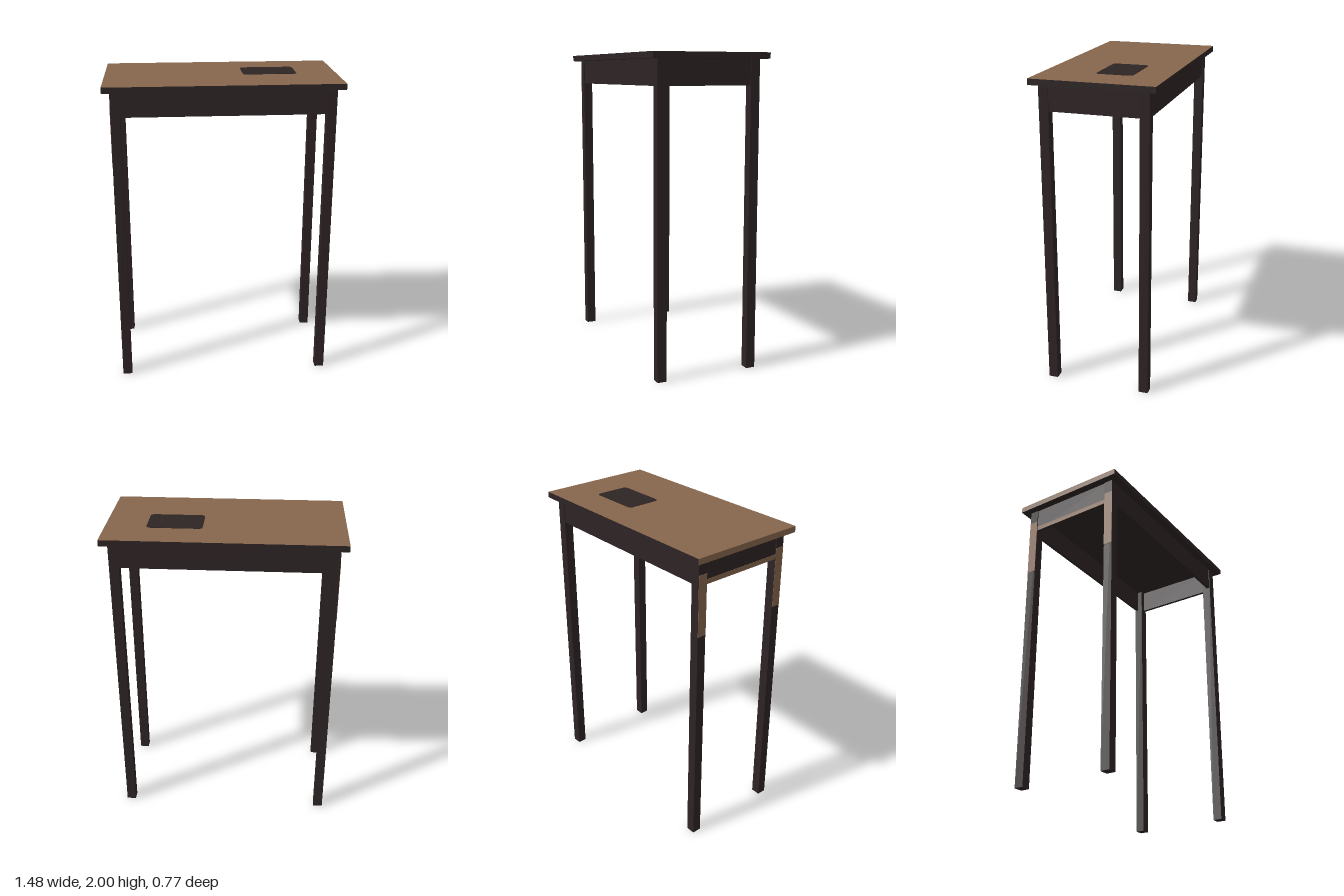
import * as THREE from 'three';

export function createModel() {
  const model = new THREE.Group();
  model.name = 'table';

  const dark = new THREE.MeshStandardMaterial({ color: 0x2e2424 });
  dark.name = 'dark wood';
  const brown = new THREE.MeshStandardMaterial({ color: 0x86664d });
  brown.name = 'brown wood';

  // Box given by its minimum and maximum corners
  function box(name, [x0, y0, z0], [x1, y1, z1], material, parent = model) {
    const mesh = new THREE.Mesh(new THREE.BoxGeometry(x1 - x0, y1 - y0, z1 - z0), material);
    mesh.position.set((x0 + x1) / 2, (y0 + y1) / 2, (z0 + z1) / 2);
    mesh.name = name;
    parent.add(mesh);
    return mesh;
  }

  // Tabletop: brown upper face and one brown end (face order +x -x +y -y +z -z)
  box('tabletop', [-0.74, 1.96, -0.387], [0.74, 1.998, 0.387],
    [dark, brown, brown, dark, dark, dark]);

  // Dark rounded panel set into the top
  const x0 = 0.14, x1 = 0.485, y0 = -0.06, y1 = 0.17, r = 0.025;
  const outline = new THREE.Shape();
  outline.absarc(x1 - r, y1 - r, r, 0, Math.PI / 2);
  outline.absarc(x0 + r, y1 - r, r, Math.PI / 2, Math.PI);
  outline.absarc(x0 + r, y0 + r, r, Math.PI, Math.PI * 1.5);
  outline.absarc(x1 - r, y0 + r, r, Math.PI * 1.5, Math.PI * 2);
  const panel = new THREE.Mesh(
    new THREE.ExtrudeGeometry(outline, { depth: 0.003, bevelEnabled: false, curveSegments: 5 }), dark);
  panel.rotation.x = -Math.PI / 2;
  panel.position.y = 1.997;
  panel.name = 'topPanel';
  model.add(panel);

  // Four square legs
  for (const sx of [-1, 1]) {
    for (const sz of [-1, 1]) {
      const leg = box('leg', [-0.03, 0, -0.03], [0.03, 1.96, 0.03], dark);
      leg.position.x = sx * 0.665;
      leg.position.z = sz * 0.31;
    }
  }

  // Aprons between the legs, slightly recessed
  for (const s of [-1, 1]) {
    const long = box('longApron', [-0.635, 1.8, -0.01], [0.635, 1.96, 0.01], dark);
    long.position.z = s * 0.325;
    const short = box('shortApron', [-0.01, 1.8, -0.28], [0.01, 1.96, 0.28], dark);
    short.position.x = s * 0.68;
  }

  // Brown patches on the right-hand end
  for (const s of [-1, 1]) {
    const patch = box('legPatch', [-0.697, 1.48, -0.03], [-0.695, 1.87, 0.03], brown);
    patch.position.z = s * 0.31;
  }
  box('apronPatch', [-0.692, 1.8, -0.28], [-0.69, 1.83, 0.28], brown);

  return model;
}
